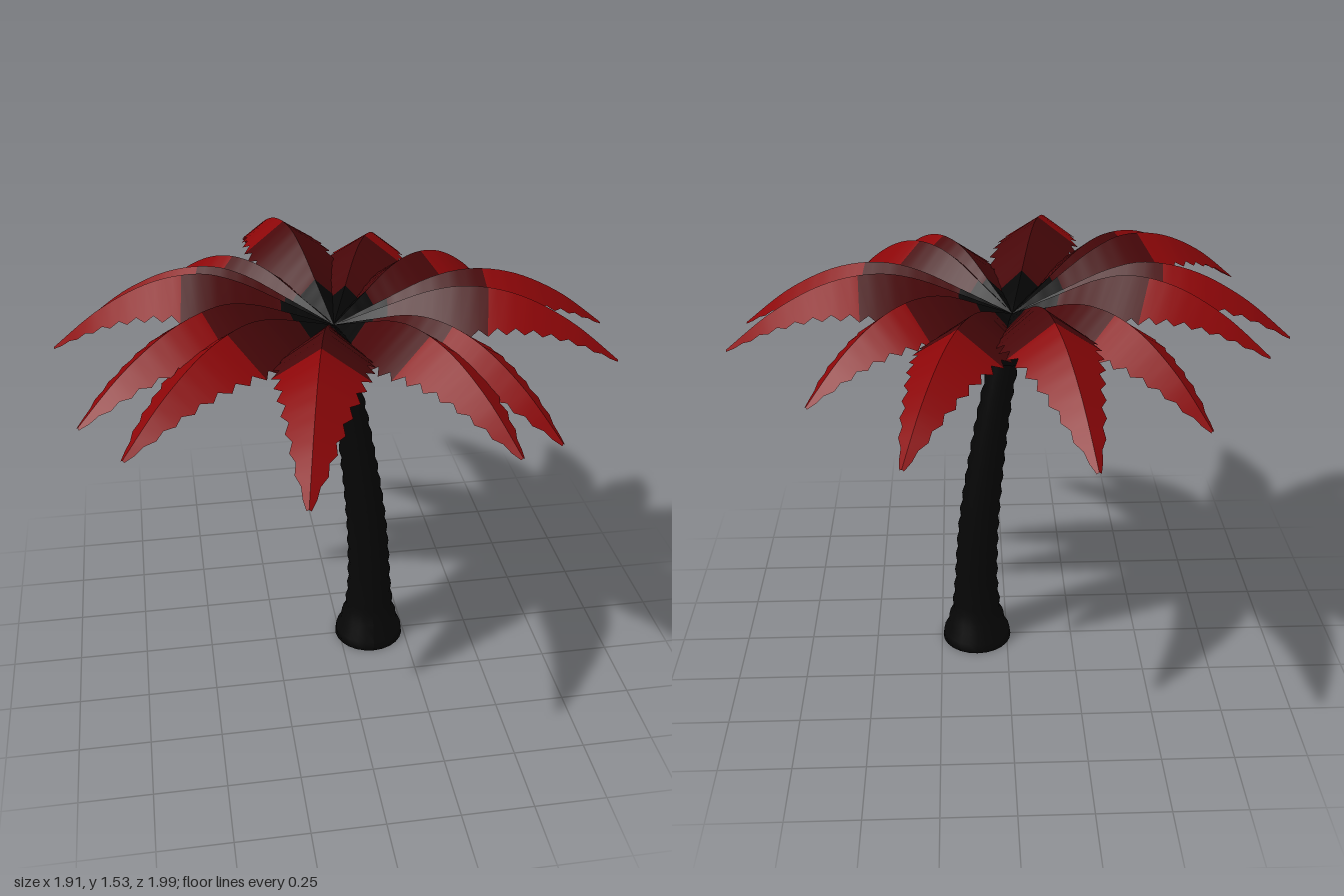
import * as THREE from 'three';

const barkBlack = new THREE.MeshStandardMaterial({ color: 0x060606, side: THREE.DoubleSide });
barkBlack.name = 'bark black';
const darkRed = new THREE.MeshStandardMaterial({ color: 0x470709, side: THREE.DoubleSide });
darkRed.name = 'dark red';
const leafRed = new THREE.MeshStandardMaterial({ color: 0x8b0608, side: THREE.DoubleSide });
leafRed.name = 'leaf red';

// Piecewise linear lookup in a list of [position, value] pairs
function lookup(table, t) {
  for (let i = 1; i < table.length; i++) {
    const [a, va] = table[i - 1], [b, vb] = table[i];
    if (t <= b) return va + (vb - va) * (t - a) / (b - a);
  }
  return table[table.length - 1][1];
}

// Smooth curve through a few pairs, sampled for lookup
function smooth(pairs) {
  const curve = new THREE.SplineCurve(pairs.map(([a, b]) => new THREE.Vector2(a, b)));
  return curve.getPoints(60).map((p) => [p.x, p.y]);
}

// Frond ridge height, half width and edge drop, from crown centre to tip
const RIDGE = smooth([[0, 1.33], [0.18, 1.415], [0.34, 1.485], [0.48, 1.51], [0.65, 1.478], [0.83, 1.385], [1, 1.25]]);
const HALF_WIDTH = [[0, 0.05], [0.18, 0.105], [0.36, 0.143], [0.5, 0.143], [0.62, 0.12], [0.75, 0.085], [0.88, 0.05], [1, 0.008]];
const DROP = [[0, 0.03], [0.18, 0.105], [0.36, 0.115], [0.5, 0.105], [0.8, 0.05], [1, 0.005]];
const PEAK = 1.51, TIP = 1.25;

const CENTRE = new THREE.Vector2(-0.02, 0);
const ROWS = 32, BLACK_ROWS = 6, DARK_ROWS = 17;

// Arched frond with a folded ridge and saw-toothed edges
function makeFrond(tipX, tipZ, tipY, peakY) {
  const dx = tipX - CENTRE.x, dz = tipZ - CENTRE.y;
  const len = Math.hypot(dx, dz);
  const positions = [], index = [];
  for (let i = 0; i <= ROWS; i++) {
    const t = i / ROWS;
    const x = CENTRE.x + dx * t, z = CENTRE.y + dz * t;
    const bend = Math.max(0, (t - 0.45) / 0.55) ** 2;
    const rise = Math.min(1, t / 0.45) * (1 - bend);
    const y = lookup(RIDGE, t) + (peakY - PEAK) * rise + (tipY - TIP) * bend;
    const tooth = i % 2 ? 1.08 : 0.92;
    const w = lookup(HALF_WIDTH, t) * tooth + (i % 2 && i < ROWS - 1 ? 0.004 : 0);
    const drop = lookup(DROP, t) * tooth;
    for (const s of [1, -1]) {
      positions.push(x, y, z);
      positions.push(x - dz / len * w * s, y - drop, z + dx / len * w * s);
    }
  }
  for (let i = 0; i < ROWS; i++) {
    const a = i * 4, b = a + 4;
    index.push(a, a + 1, b, a + 1, b + 1, b);
    index.push(a + 2, b + 2, a + 3, a + 3, b + 2, b + 3);
  }
  const geo = new THREE.BufferGeometry();
  geo.setAttribute('position', new THREE.Float32BufferAttribute(positions, 3));
  geo.setIndex(index);
  geo.computeVertexNormals();
  geo.addGroup(0, BLACK_ROWS * 12, 0);
  geo.addGroup(BLACK_ROWS * 12, (DARK_ROWS - BLACK_ROWS) * 12, 1);
  geo.addGroup(DARK_ROWS * 12, (ROWS - DARK_ROWS) * 12, 2);
  return new THREE.Mesh(geo, [barkBlack, darkRed, leafRed]);
}

// Ringed trunk that leans as it rises
function makeTrunk() {
  const radius = [[0, 0.13], [0.04, 0.12], [0.13, 0.09], [0.25, 0.079], [0.6, 0.07], [1.0, 0.056], [1.2, 0.05]];
  const lean = smooth([[0, 0.115], [0.25, 0.115], [0.5, 0.103], [0.75, 0.075], [1.0, 0.038], [1.2, 0]]);
  const pts = [new THREE.Vector2(0, 0)];
  const rings = 18, top = 1.2;
  for (let i = 0; i <= rings * 2; i++) {
    const y = i / (rings * 2) * top;
    pts.push(new THREE.Vector2(lookup(radius, y) + (i % 2 ? 0.004 : i ? -0.003 : 0), y));
  }
  pts.push(new THREE.Vector2(0, top));
  const geo = new THREE.LatheGeometry(pts, 24);
  const pos = geo.attributes.position;
  for (let i = 0; i < pos.count; i++) pos.setX(i, pos.getX(i) + lookup(lean, pos.getY(i)));
  geo.computeVertexNormals();
  return new THREE.Mesh(geo, barkBlack);
}

export function createModel() {
  const model = new THREE.Group();
  model.name = 'palmTree';

  const trunk = makeTrunk();
  trunk.name = 'trunk';
  model.add(trunk);

  // Swollen bulb at the trunk's top
  const bulbProfile = [[0, -0.06], [0.05, -0.062], [0.082, -0.048], [0.099, -0.015], [0.099, 0.015], [0.085, 0.045], [0.055, 0.062], [0, 0.066]];
  const bulb = new THREE.Mesh(
    new THREE.LatheGeometry(bulbProfile.map(([r, y]) => new THREE.Vector2(r, y)), 24), barkBlack);
  bulb.name = 'trunkBulb';
  bulb.position.set(-0.002, 1.218, 0);
  bulb.rotation.z = 0.1;
  model.add(bulb);

  // Crown of fronds: tip x, tip z, tip height, peak height
  const tips = [
    [-0.22, -1.0, 1.25, 1.51], [0.33, -0.87, 1.2, 1.465], [0.64, -0.49, 1.22, 1.475],
    [0.95, -0.07, 1.24, 1.49], [0.92, 0.21, 1.23, 1.485], [0.58, 0.69, 1.21, 1.475],
    [0.42, 0.8, 1.24, 1.475], [-0.24, 0.99, 1.25, 1.51], [-0.74, 0.7, 1.28, 1.5],
    [-0.87, 0.49, 1.28, 1.53], [-0.96, -0.1, 1.27, 1.525], [-0.85, -0.29, 1.28, 1.51],
    [-0.6, -0.66, 1.2, 1.46],
  ];
  const crown = new THREE.Group();
  crown.name = 'crown';
  tips.forEach((tip, i) => {
    const frond = makeFrond(...tip);
    frond.name = `frond${i + 1}`;
    crown.add(frond);
  });
  model.add(crown);
  return model;
}
